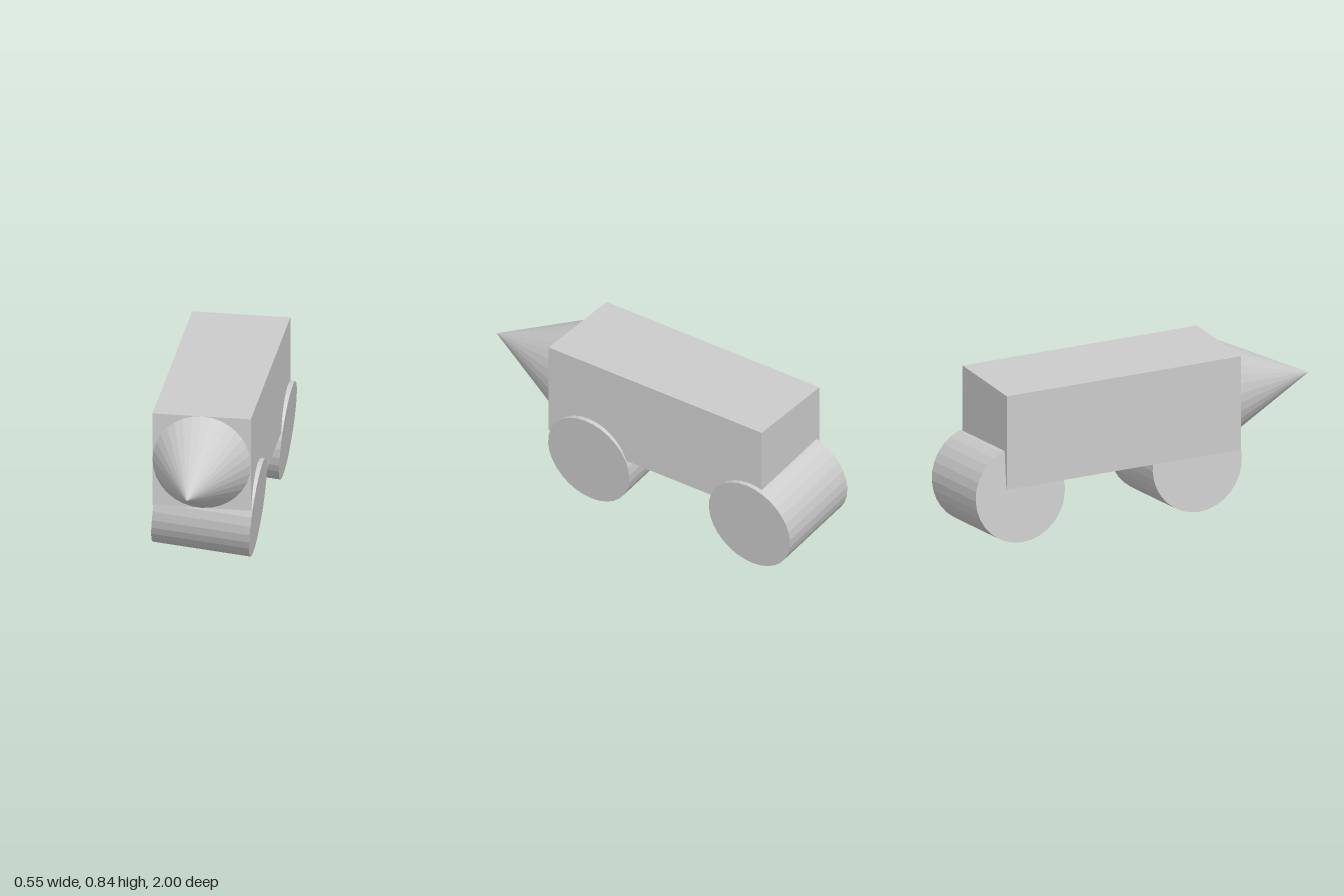
import * as THREE from 'three';

export function createModel() {
  const model = new THREE.Group();
  const material = new THREE.MeshStandardMaterial({ color: 0xcccccc, flatShading: true });
  const size = 0.503;
  const radius = size / 2;
  const sides = 32;
  const bodyY = 0.589;
  const bodyFront = 0.497;
  const bodyBack = -0.825;

  function add(name, geometry, x, y, z) {
    const mesh = new THREE.Mesh(geometry, material);
    mesh.name = name;
    mesh.position.set(x, y, z);
    model.add(mesh);
    return mesh;
  }

  // Long square body
  add('body', new THREE.BoxGeometry(size, size, bodyFront - bodyBack), 0, bodyY, (bodyFront + bodyBack) / 2);

  // Pointed nose facing forward
  const nose = add('nose', new THREE.ConeGeometry(radius, size, sides), 0, bodyY, bodyFront + size / 2);
  nose.rotation.x = Math.PI / 2;

  // Wide rollers, both leaning down towards the left side
  for (const [name, z] of [['frontRoller', 0.25], ['rearRoller', -0.748]]) {
    const roller = add(name, new THREE.CylinderGeometry(radius, radius, size, sides), 0, 0.276, z);
    roller.rotation.z = -Math.PI / 2 - 0.1;
  }

  return model;
}
